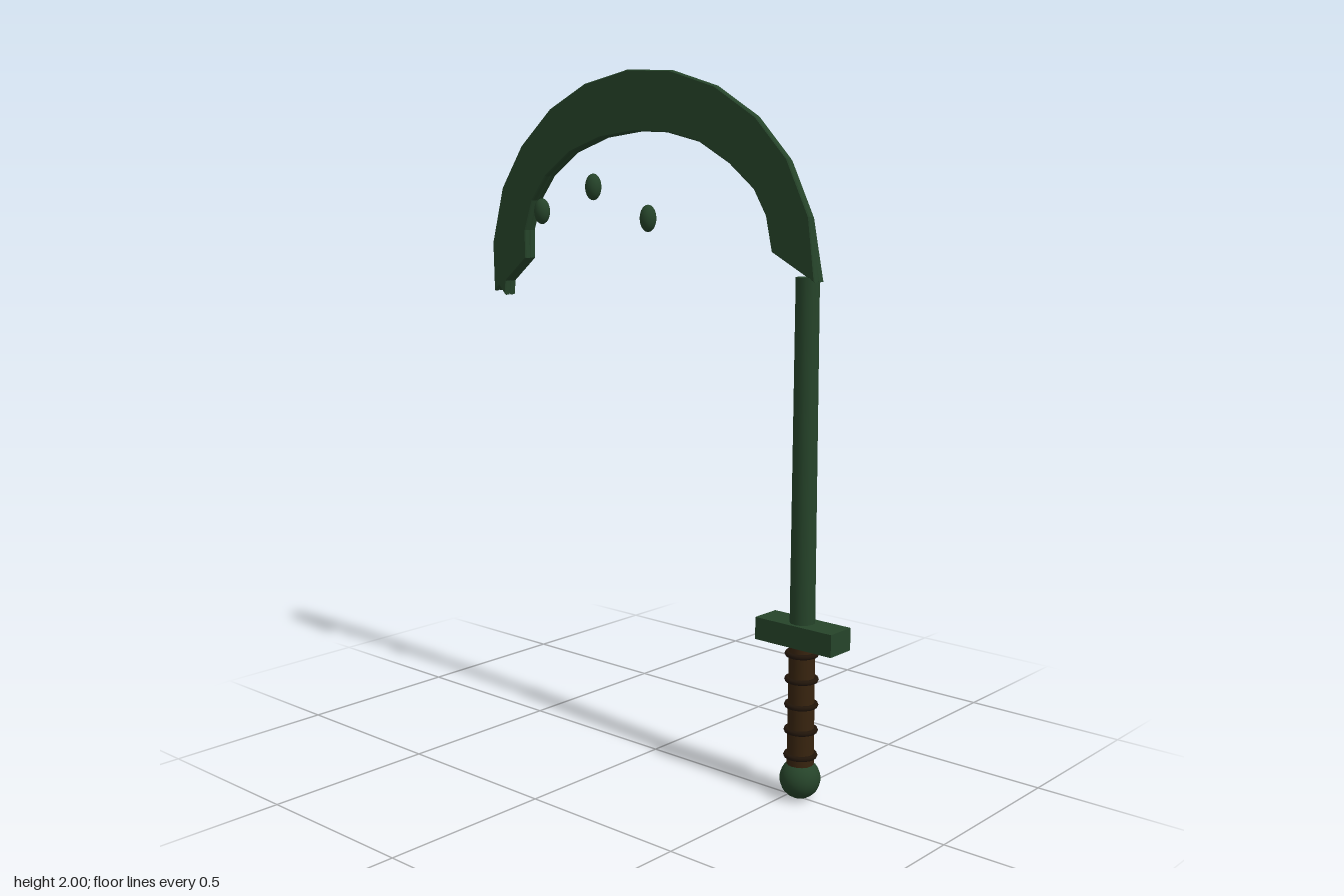
import * as THREE from 'three';

const green = new THREE.MeshStandardMaterial({ name: 'dark green', color: 0x26442a });
const brown = new THREE.MeshStandardMaterial({ name: 'grip brown', color: 0x38240f });
const darkBrown = new THREE.MeshStandardMaterial({ name: 'ring brown', color: 0x21150a });

const AXIS = 0.5375; // x of the handle

// Outer and inner edges of the hooked blade, from shaft to tip
const outer = [
  [0.574, 1.43], [0.553, 1.6], [0.479, 1.75], [0.373, 1.86], [0.23, 1.945], [0.07, 1.992], [-0.09, 2],
  [-0.26, 1.966], [-0.405, 1.897], [-0.53, 1.79], [-0.617, 1.664], [-0.664, 1.495], [-0.659, 1.345],
];
const tip = [[-0.638, 1.362], [-0.611, 1.334], [-0.606, 1.378], [-0.516, 1.452]];
const inner = [
  [-0.516, 1.537], [-0.484, 1.627], [-0.426, 1.7], [-0.325, 1.77], [-0.2, 1.812], [-0.066, 1.828], [0.06, 1.823],
  [0.177, 1.796], [0.283, 1.738], [0.368, 1.67], [0.41, 1.6], [0.431, 1.505],
];

// One half-thickness layer of the blade; inset draws its outer edge towards the hook centre
function bladeLayer(inset, z0, depth) {
  const rim = outer.map(([x, y], i) => {
    if (i === 0 || i === outer.length - 1) return [x, y];
    const d = new THREE.Vector2(-0.05 - x, 1.4 - y).setLength(inset);
    return [x + d.x, y + d.y];
  });
  const shape = new THREE.Shape([...rim, ...tip, ...inner].map(([x, y]) => new THREE.Vector2(x, y)));
  const bevel = 0.003;
  const geo = new THREE.ExtrudeGeometry(shape, {
    depth: depth - 2 * bevel, bevelEnabled: true, bevelThickness: bevel,
    bevelSize: bevel, bevelOffset: -bevel, bevelSegments: 1,
  });
  return geo.translate(0, 0, z0 + bevel);
}

export function createModel() {
  const group = new THREE.Group();
  const add = (name, geo, mat, x, y, z = 0) => {
    const mesh = new THREE.Mesh(geo, mat);
    mesh.name = name;
    mesh.position.set(x, y, z);
    group.add(mesh);
    return mesh;
  };

  // Handle
  add('pommel', new THREE.SphereGeometry(0.057, 20, 14), green, AXIS, 0.057);
  add('grip', new THREE.CylinderGeometry(0.036, 0.038, 0.36, 16), brown, AXIS, 0.265);
  for (let i = 0; i < 5; i++) {
    const ring = add('gripRing', new THREE.TorusGeometry(0.04, 0.0075, 8, 20), darkBrown, AXIS, 0.125 + i * 0.0725);
    ring.rotation.x = Math.PI / 2;
  }
  add('guard', new THREE.BoxGeometry(0.255, 0.063, 0.09), green, AXIS, 0.471);
  add('shaft', new THREE.CylinderGeometry(0.032, 0.035, 0.95, 12), green, AXIS, 0.967);

  // Hooked blade, stepped along its outer edge
  add('bladeFront', bladeLayer(0, 0, 0.021), green, 0, 0);
  add('bladeBack', bladeLayer(0.013, -0.022, 0.023), green, 0, 0);

  // Floating beads under the hook
  for (const [x, y] of [[-0.463, 1.595], [-0.246, 1.67], [-0.029, 1.583]]) {
    add('bead', new THREE.SphereGeometry(1, 14, 10), green, x, y).scale.set(0.025, 0.039, 0.024);
  }
  return group;
}
